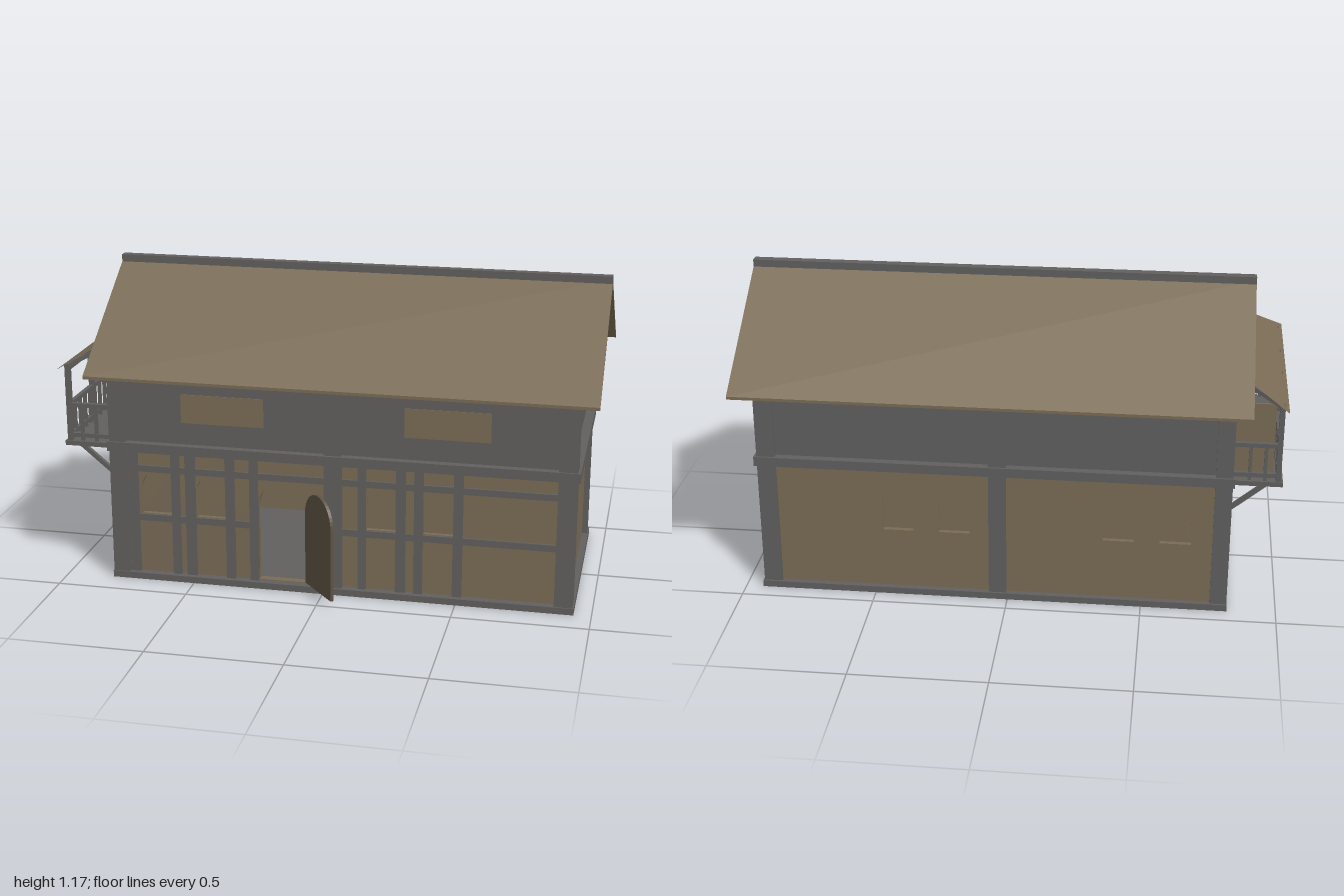
import * as THREE from 'three';

const mat = (name, color, side = THREE.FrontSide) => {
  const m = new THREE.MeshStandardMaterial({ color, side });
  m.name = name;
  return m;
};

export function createModel() {
  const house = new THREE.Group();
  house.name = 'timberHouse';
  const timber = mat('greyTimber', 0x605f5e);
  const plaster = mat('brownPlaster', 0x796b55);
  const thatch = mat('brownRoof', 0x796b55, THREE.DoubleSide);
  const doorWood = mat('darkDoorWood', 0x5c5242);

  const add = (name, geo, material, parent = house) => {
    const m = new THREE.Mesh(geo, material);
    m.name = name;
    parent.add(m);
    return m;
  };
  // Box given by its limits on each axis
  const box = (name, material, x0, x1, y0, y1, z0, z1) => {
    const m = add(name, new THREE.BoxGeometry(x1 - x0, y1 - y0, z1 - z0), material);
    m.position.set((x0 + x1) / 2, (y0 + y1) / 2, (z0 + z1) / 2);
    return m;
  };
  // Square beam between two points
  const beam = (name, a, b, t, material = timber) => {
    const p = new THREE.Vector3(...a), q = new THREE.Vector3(...b);
    const m = add(name, new THREE.BoxGeometry(t, t, p.distanceTo(q)), material);
    m.position.copy(p).add(q).multiplyScalar(0.5);
    m.lookAt(q);
    return m;
  };
  // Arched outline used for windows, doorway and door
  const arch = (x0, x1, y0, y1, rise, Type = THREE.Shape) => {
    const s = new Type();
    s.moveTo(x0, y0);
    s.lineTo(x1, y0);
    s.lineTo(x1, y1 - rise);
    s.absellipse((x0 + x1) / 2, y1 - rise, (x1 - x0) / 2, rise, 0, Math.PI, false);
    s.lineTo(x0, y0);
    return s;
  };
  // Cross-section of [z, y] points swept from x0 to x1
  const sweepX = (name, material, pts, x0, x1) => {
    const s = new THREE.Shape(pts.map(([z, y]) => new THREE.Vector2(-z, y)));
    const g = new THREE.ExtrudeGeometry(s, { depth: x1 - x0, bevelEnabled: false });
    g.rotateY(Math.PI / 2).translate(x0, 0, 0);
    return add(name, g, material);
  };
  // Long wall with arched openings
  const longWall = (name, z0, holes) => {
    const s = new THREE.Shape([[-0.8, 0.02], [0.91, 0.02], [0.91, 0.52], [-0.8, 0.52]].map(p => new THREE.Vector2(...p)));
    s.holes.push(...holes);
    const g = new THREE.ExtrudeGeometry(s, { depth: 0.03, bevelEnabled: false, curveSegments: 10 });
    add(name, g.translate(0, 0, z0), plaster);
  };
  const windowHole = x => arch(x - 0.057, x + 0.057, 0.26, 0.425, 0.06, THREE.Path);

  // Ground sill and storey beam
  box('groundSill', timber, -0.82, 0.935, 0, 0.025, -0.435, 0.393);
  box('storeyBeam', timber, -0.825, 0.94, 0.51, 0.546, -0.435, 0.395);

  // Ground-floor walls
  const frontWindows = [-0.645, -0.43, 0.218, 0.428], backWindows = [0.41, 0.2, -0.41, -0.62];
  const doorway = arch(-0.25, -0.055, 0.027, 0.42, 0.1, THREE.Path);
  longWall('frontWall', 0.332, [...frontWindows.map(windowHole), doorway]);
  longWall('backWall', -0.412, backWindows.map(windowHole));
  for (const x of frontWindows) box('frontWindowPanel', plaster, x - 0.07, x + 0.07, 0.25, 0.44, 0.322, 0.344);
  for (const x of backWindows) box('backWindowPanel', plaster, x - 0.07, x + 0.07, 0.25, 0.44, -0.394, -0.375);
  box('rightWall', plaster, 0.88, 0.91, 0.02, 0.52, -0.4, 0.35);
  box('leftWall', plaster, -0.8, -0.77, 0.02, 0.52, -0.4, 0.35);

  // Upper storey with gable ends
  sweepX('upperStorey', timber,
    [[0.365, 0.54], [0.365, 0.872], [-0.02, 1.135], [-0.405, 0.872], [-0.405, 0.54]], -0.8, 0.905);
  for (const x of [-0.54, 0.3]) box('upperWindow', plaster, x, x + 0.315, 0.63, 0.74, 0.362, 0.368);

  // Corner and middle posts on both storeys
  for (const [y0, y1] of [[0.02, 0.515], [0.54, 0.867]]) {
    for (const [x0, x1] of [[-0.818, -0.755], [0.862, 0.93]]) {
      box('cornerPostFront', timber, x0, x1, y0, y1, 0.322, 0.388);
      box('cornerPostBack', timber, x0, x1, y0, y1, -0.427, -0.365);
    }
    box('middlePostFront', timber, 0.005, 0.07, y0, y1, 0.34, 0.384);
    box('middlePostBack', timber, 0.005, 0.07, y0, y1, -0.427, -0.38);
  }

  // Front timber framing
  for (const [x0, x1] of [[-0.75, -0.715], [-0.585, -0.553], [-0.53, -0.492], [-0.375, -0.34],
    [-0.282, -0.25], [0.13, 0.16], [0.272, 0.308], [0.34, 0.373], [0.485, 0.52]])
    box('frontStud', timber, x0, x1, 0.02, 0.515, 0.355, 0.375);
  for (const [x0, x1] of [[-0.76, 0.01], [0.07, 0.865]])
    box('frontUpperRail', timber, x0, x1, 0.428, 0.453, 0.355, 0.372);
  for (const [x0, x1] of [[-0.76, -0.25], [0.07, 0.865]])
    box('frontLowerRail', timber, x0, x1, 0.232, 0.258, 0.355, 0.372);

  // Studs on the left wall
  for (const z of [-0.15, 0.06, 0.25]) box('leftStud', timber, -0.812, -0.79, 0.02, 0.515, z - 0.02, z + 0.02);

  // Open door leaf
  const leaf = add('door', new THREE.ExtrudeGeometry(arch(0, 0.2, 0.032, 0.41, 0.1),
    { depth: 0.012, bevelEnabled: false, curveSegments: 10 }), doorWood);
  leaf.position.set(-0.06, 0, 0.365);
  leaf.rotation.y = -Math.atan2(0.152, 0.13);

  // Main roof slabs and ridge beam
  for (const [name, z] of [['frontRoof', 0.48], ['backRoof', -0.518]]) {
    const pts = [[-0.02, 1.158], [z, 0.822], [z, 0.811], [-0.02, 1.146]];
    sweepX(name, thatch, z > 0 ? pts : pts.reverse(), -0.875, 1);
  }
  box('ridgeBeam', timber, -0.875, 1, 1.122, 1.174, -0.037, -0.003);

  // Balcony floor, roof posts, rails and balusters
  box('balconyFloor', timber, -0.995, -0.81, 0.515, 0.533, -0.415, 0.375);
  const zBack = -0.4, zFront = 0.36;
  for (const z of [zBack, -0.105, 0.115, zFront]) {
    box('balconyPost', timber, -0.987, -0.968, 0.53, 0.832, z - 0.01, z + 0.01);
    beam('balconyBrace', [-0.935, 0.52, z], [-0.81, 0.415, z], 0.016);
    beam('balconyRafter', [-0.98, 0.822, z], [-0.8, 0.915, z * 0.85], 0.014);
  }
  box('balconyRoofPlate', timber, -0.987, -0.968, 0.808, 0.826, zBack, zFront);
  for (const y of [0.555, 0.672]) {
    box('balconyRail', timber, -0.986, -0.97, y - 0.008, y + 0.008, zBack, zFront);
    for (const z of [zBack, zFront]) box('balconyEndRail', timber, -0.98, -0.81, y - 0.008, y + 0.008, z - 0.008, z + 0.008);
  }
  for (let i = 1; i < 14; i++) {
    const z = zBack + (zFront - zBack) * i / 14;
    box('baluster', timber, -0.984, -0.972, 0.53, 0.67, z - 0.006, z + 0.006);
  }
  for (const z of [zBack, zFront]) for (const x of [-0.93, -0.875])
    box('endBaluster', timber, x - 0.006, x + 0.006, 0.53, 0.67, z - 0.006, z + 0.006);
  box('balconyEndPanel', plaster, -0.958, -0.8, 0.533, 0.825, -0.385, -0.376);

  // Lean-to balcony roof, wider at its eave
  const canopy = new THREE.BufferGeometry();
  canopy.setAttribute('position', new THREE.Float32BufferAttribute(
    [-1, 0.822, 0.42, -0.8, 0.935, 0.305, -0.8, 0.935, -0.335, -1, 0.822, -0.455], 3));
  canopy.setIndex([0, 1, 2, 0, 2, 3]);
  canopy.computeVertexNormals();
  add('balconyRoof', canopy, thatch);

  return house;
}
